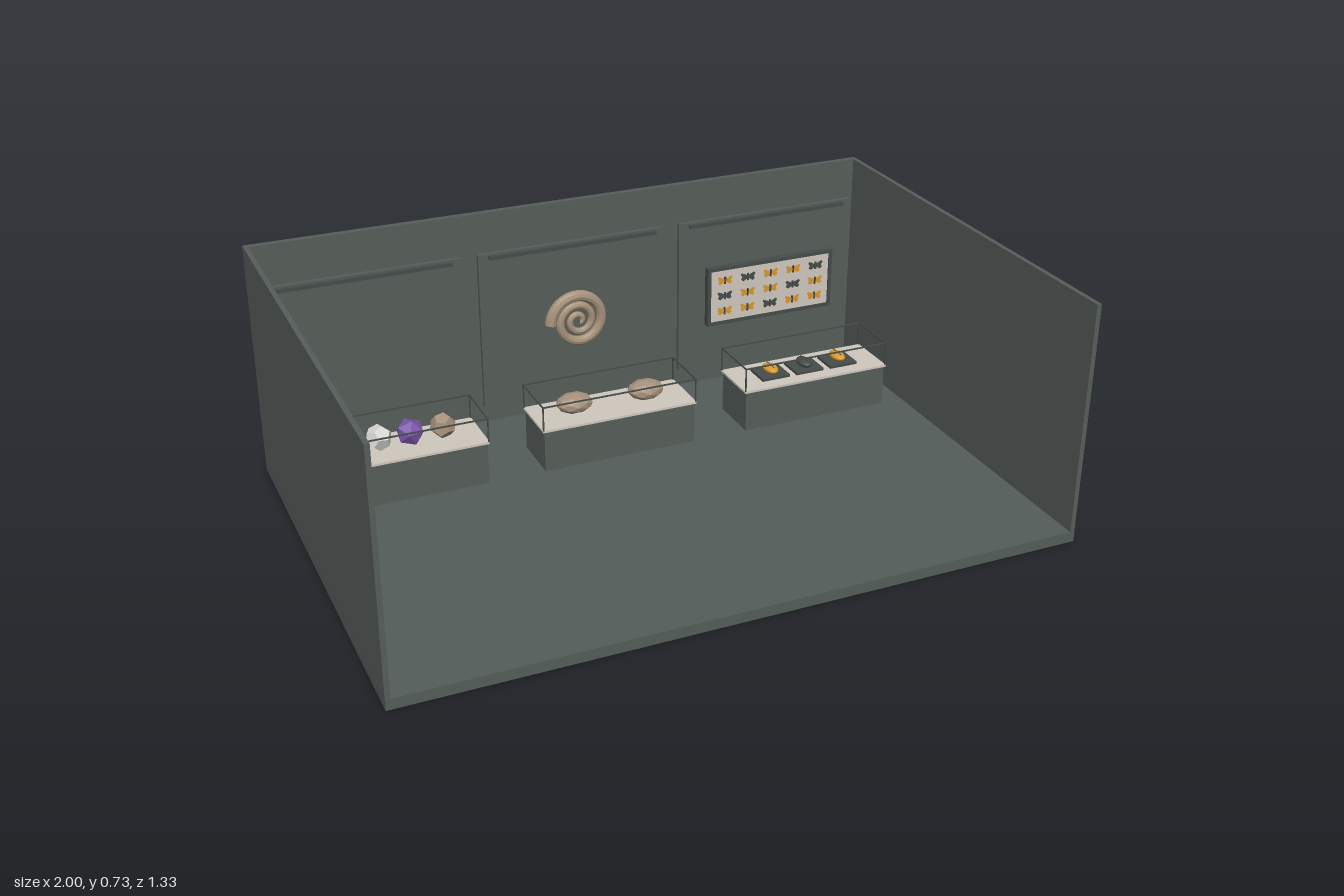
import * as THREE from 'three';

const mat = (name, color, extra = {}) => {
  const m = new THREE.MeshStandardMaterial({ color, ...extra });
  m.name = name;
  return m;
};

export function createModel() {
  const root = new THREE.Group();
  root.name = 'museumRoom';

  const wall = mat('slate wall', 0x565d59);
  const floor = mat('slate floor', 0x545d5b);
  const dark = mat('dark trim', 0x454c4a);
  const cream = mat('cream lining', 0xcfc8be);
  const tan = mat('fossil tan', 0xa5917a, { flatShading: true });
  const pale = mat('pale quartz', 0xd6d6d2, { flatShading: true });
  const purple = mat('amethyst purple', 0x7a54a8, { flatShading: true });
  const amber = mat('amber', 0xd9982f);

  const add = (parent, name, geo, material, x, y, z) => {
    const m = new THREE.Mesh(geo, material);
    m.name = name;
    m.position.set(x, y, z);
    parent.add(m);
    return m;
  };
  // box given by its centre in x and z and its bottom in y
  const box = (parent, name, material, w, h, d, x, y, z) =>
    add(parent, name, new THREE.BoxGeometry(w, h, d), material, x, y + h / 2, z);
  const group = (name, x = 0, y = 0, z = 0) => {
    const g = new THREE.Group();
    g.name = name;
    g.position.set(x, y, z);
    root.add(g);
    return g;
  };

  // Room shell, open at the front and top
  box(root, 'floor', floor, 2, 0.032, 1.333, 0, 0, 0);
  box(root, 'backWall', wall, 2, 0.696, 0.02, 0, 0.032, -0.656);
  for (const s of [-1, 1])
    box(root, s > 0 ? 'leftWall' : 'rightWall', wall, 0.014, 0.696, 1.312, s * 0.993, 0.032, 0.01);

  // Back wall panels with a slim rail near the top
  [-0.667, 0, 0.667].forEach((x) => {
    box(root, 'wallPanel', wall, 0.618, 0.51, 0.014, x, 0.09, -0.639);
    box(root, 'panelRail', dark, 0.55, 0.012, 0.012, x, 0.583, -0.626);
  });

  // Display cases: plinth, lining and open glass frame
  const W = 0.5, D = 0.175, H = 0.078, T = 0.004;
  const cases = [-0.667, 0, 0.667].map((x) => {
    const g = group('displayCase', x, 0.032, -0.343);
    box(g, 'plinth', wall, 0.49, 0.13, 0.168, 0, 0, 0);
    box(g, 'lining', cream, W, 0.007, D, 0, 0.13, 0);
    for (const s of [-1, 1]) {
      for (const t of [-1, 1])
        box(g, 'framePost', dark, T, H, T, s * (W - T) / 2, 0.137, t * (D - T) / 2);
      box(g, 'frameLongBar', dark, W, T, T, 0, 0.137 + H - T, s * (D - T) / 2);
      box(g, 'frameShortBar', dark, T, T, D, s * (W - T) / 2, 0.137 + H - T, 0);
    }
    return g;
  });
  const top = 0.137;

  // Mineral specimens
  [
    [-0.153, tan, new THREE.IcosahedronGeometry(0.04)],
    [-0.057, pale, new THREE.DodecahedronGeometry(0.04)],
    [0.037, purple, new THREE.IcosahedronGeometry(0.043)],
    [0.136, tan, new THREE.DodecahedronGeometry(0.039)],
  ].forEach(([x, m, geo], i) => {
    add(cases[0], 'mineral', geo, m, x, top + 0.037, 0).rotation.set(0.3 * i, 0.6 * i, 0.15 * i);
  });

  // Egg fossils
  for (const s of [-1, 1])
    add(cases[1], 'eggFossil', new THREE.IcosahedronGeometry(1, 1), tan, s * 0.117, top + 0.03, 0)
      .scale.set(0.058, 0.031, 0.045);

  // Beetles on small mounts
  [-0.12, 0, 0.12].forEach((x, i) => {
    box(cases[2], 'beetleMount', dark, 0.096, 0.008, 0.088, x, top, 0);
    const m = i === 1 ? dark : amber;
    add(cases[2], 'beetleBody', new THREE.SphereGeometry(1, 16, 10), m, x, top + 0.02, 0)
      .scale.set(0.022, 0.013, 0.036);
    box(cases[2], 'beetleSeam', dark, 0.002, 0.002, 0.05, x, top + 0.031, 0);
  });

  // Spiral shell: a tapering coil whose mouth is at the right side
  const SEG = 140, SIDES = 10, TURNS = 2.7, R = 0.019;
  const pts = [];
  for (let i = 0; i <= 90; i++) {
    const t = i / 90, a = Math.PI - t * TURNS * Math.PI * 2;
    const r = 0.092 * (1 - t) + 0.006 * t;
    pts.push(new THREE.Vector3(Math.cos(a) * r, Math.sin(a) * r, 0));
  }
  const curve = new THREE.CatmullRomCurve3(pts);
  const coil = new THREE.TubeGeometry(curve, SEG, R, SIDES);
  const pos = coil.attributes.position, v = new THREE.Vector3();
  for (let i = 0; i <= SEG; i++) {
    const c = curve.getPointAt(i / SEG), k = 1 - 0.5 * (i / SEG);
    for (let j = 0; j <= SIDES; j++) {
      const n = i * (SIDES + 1) + j;
      v.fromBufferAttribute(pos, n).sub(c).multiplyScalar(k).add(c);
      pos.setXYZ(n, v.x, v.y, v.z);
    }
  }
  const shell = group('spiralShell', 0, 0.345, -0.602);
  add(shell, 'coil', coil, tan, 0, 0, 0);
  const mouth = add(shell, 'mouth', new THREE.CircleGeometry(R, SIDES), tan, -0.092, 0, 0);
  mouth.rotation.x = Math.PI / 2;

  // Framed insect board
  const board = group('insectBoard', 0.667, 0.349, -0.6);
  box(board, 'boardBack', dark, 0.45, 0.2, 0.016, 0, -0.1, -0.004);
  box(board, 'boardFace', cream, 0.425, 0.176, 0.006, 0, -0.088, 0.004);
  for (const s of [-1, 1]) {
    box(board, 'frameRail', dark, 0.45, 0.012, 0.02, 0, s * 0.094 - 0.006, 0);
    box(board, 'frameStile', dark, 0.012, 0.2, 0.02, s * 0.219, -0.1, 0);
  }

  // Butterflies: paired wings on a slim body
  const wingShape = new THREE.Shape([
    [0, 0.004], [0.022, 0.014], [0.026, 0.009], [0.02, 0],
    [0.024, -0.008], [0.017, -0.014], [0, -0.004],
  ].map(([x, y]) => new THREE.Vector2(x, y)));
  const wing = new THREE.ExtrudeGeometry(wingShape, { depth: 0.002, bevelEnabled: false });
  for (let r = 0; r < 3; r++) for (let c = 0; c < 5; c++) {
    const x = (c - 2) * 0.082, y = (1 - r) * 0.053;
    const m = (r + c) % 3 === 1 ? dark : amber;
    add(board, 'leftWing', wing, m, x, y, 0.008);
    add(board, 'rightWing', wing, m, x, y, 0.01).rotation.y = Math.PI;
    box(board, 'insectBody', dark, 0.005, 0.024, 0.005, x, y - 0.012, 0.0095);
  }
  return root;
}
